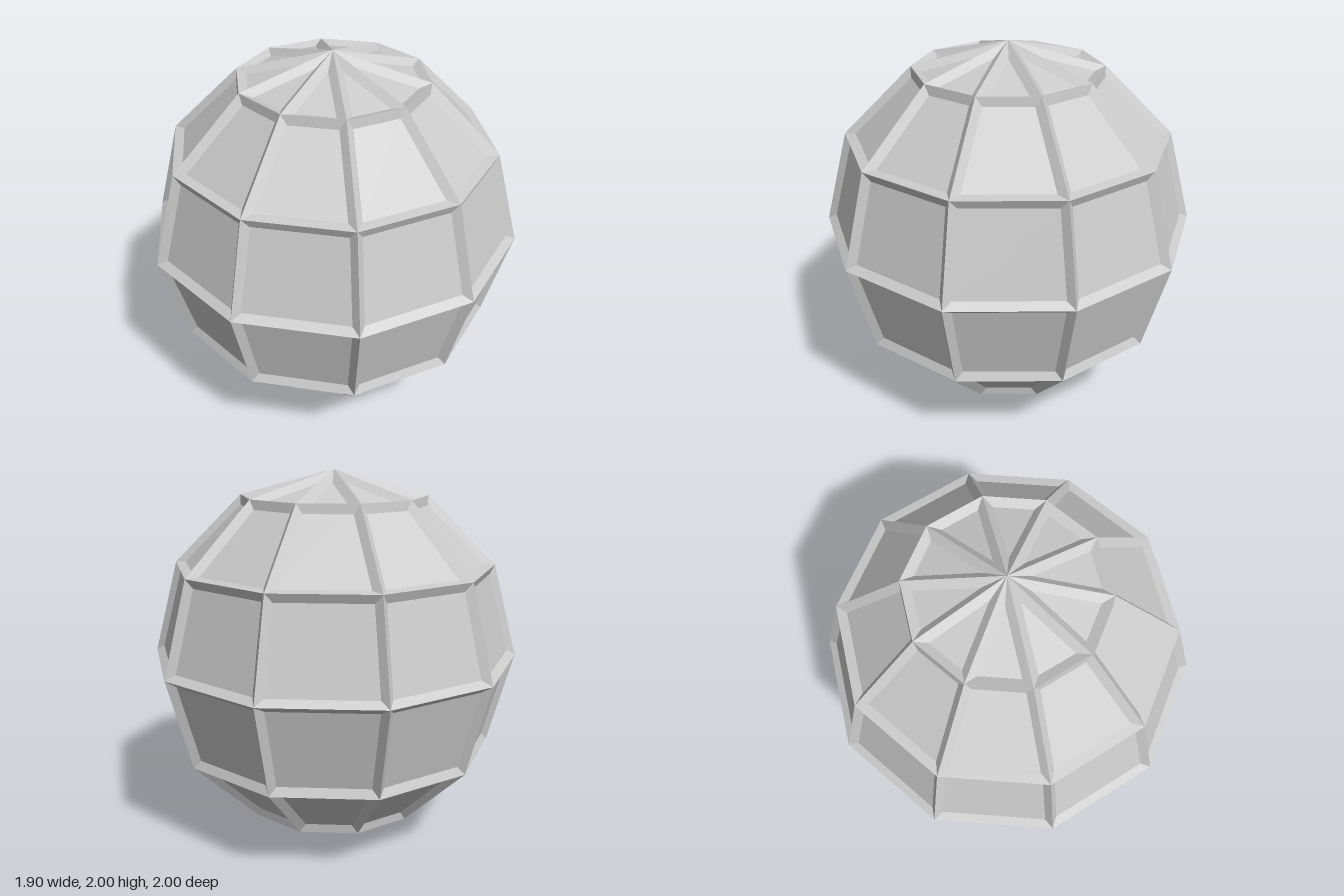
import * as THREE from 'three';

const SEGMENTS = 10, RINGS = 6, INSET = 0.04, DEPTH = 0.03;

// Point on the unit sphere grid; ring 0 is the top pole
function gridPoint(ring, seg) {
  const polar = (ring * Math.PI) / RINGS;
  const turn = (seg * 2 * Math.PI) / SEGMENTS;
  const r = Math.sin(polar);
  return new THREE.Vector3(r * Math.sin(turn), 1 + Math.cos(polar), r * Math.cos(turn));
}

// Shrink a planar polygon evenly by INSET and sink it by DEPTH
function insetPolygon(poly) {
  const n = poly.length;
  const dirs = poly.map((p, i) => poly[(i + 1) % n].clone().sub(p).normalize());
  const normal = dirs[0].clone().cross(dirs[1]).normalize();
  return poly.map((p, i) => {
    const a = normal.clone().cross(dirs[(i + n - 1) % n]);
    const b = normal.clone().cross(dirs[i]);
    const miter = a.clone().add(b).multiplyScalar(INSET / (1 + a.dot(b)));
    return p.clone().add(miter).addScaledVector(normal, -DEPTH);
  });
}

// Add a convex polygon as a triangle fan
function addPolygon(out, poly) {
  for (let i = 1; i < poly.length - 1; i++) out.push(poly[0], poly[i], poly[i + 1]);
}

function makeMesh(name, points) {
  const geometry = new THREE.BufferGeometry().setFromPoints(points);
  geometry.computeVertexNormals();
  const material = new THREE.MeshStandardMaterial({ color: 0xcccccc, flatShading: true });
  const mesh = new THREE.Mesh(geometry, material);
  mesh.name = name;
  return mesh;
}

export function createModel() {
  const panels = [], ribs = [];
  for (let ring = 0; ring < RINGS; ring++) {
    for (let seg = 0; seg < SEGMENTS; seg++) {
      // Counter-clockwise cell seen from outside; triangles at the poles
      const cell = [gridPoint(ring + 1, seg)];
      if (ring < RINGS - 1) cell.push(gridPoint(ring + 1, seg + 1));
      cell.push(gridPoint(ring, seg + 1));
      if (ring > 0) cell.push(gridPoint(ring, seg));

      // Sunken panel and the sloping sides of the ribs around it
      const inner = insetPolygon(cell);
      addPolygon(panels, inner);
      cell.forEach((p, i) => {
        const j = (i + 1) % cell.length;
        addPolygon(ribs, [p, cell[j], inner[j], inner[i]]);
      });
    }
  }
  const model = new THREE.Group();
  model.name = 'panelledSphere';
  model.add(makeMesh('sunkenPanels', panels), makeMesh('ribs', ribs));
  return model;
}
